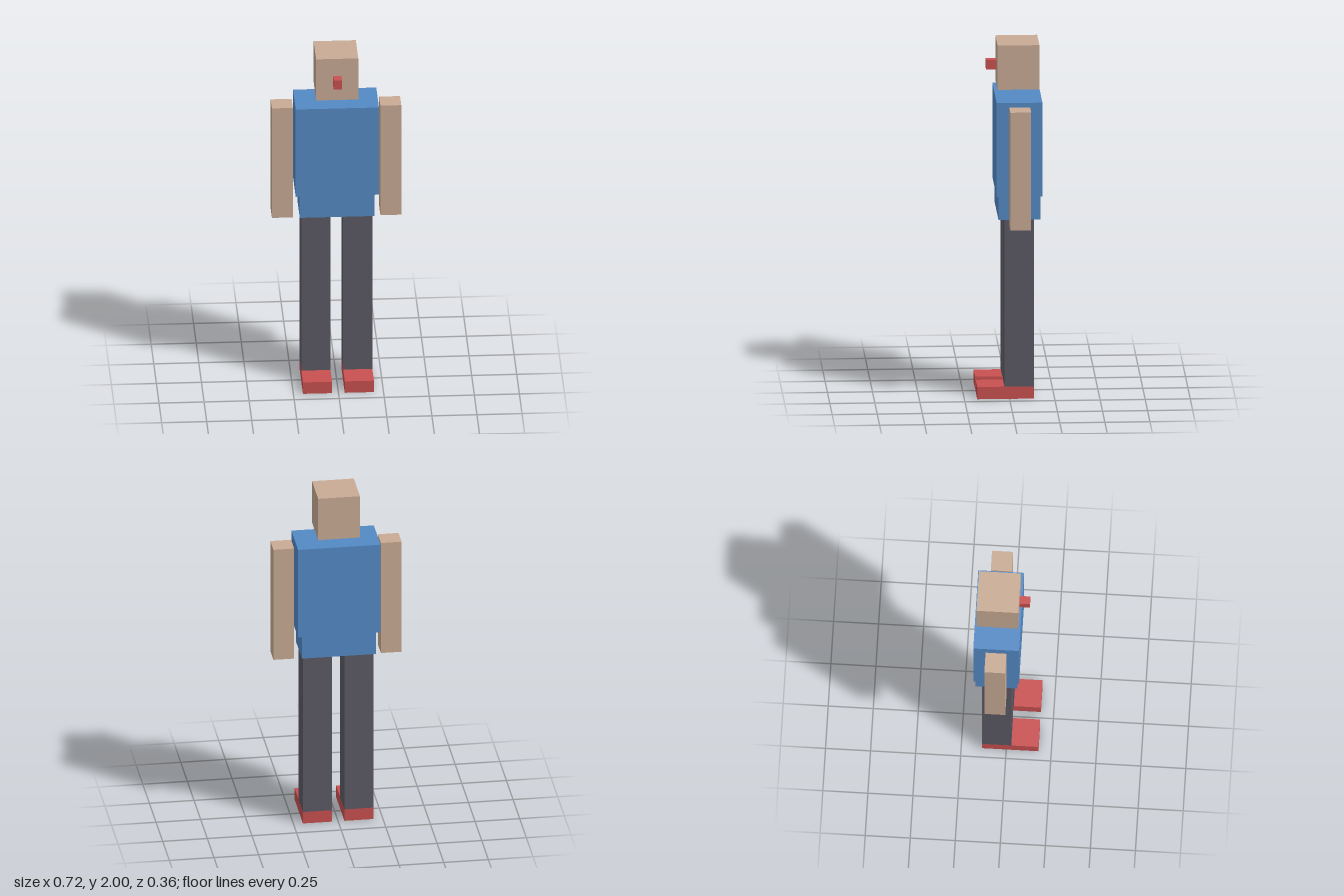
import * as THREE from 'three';

const material = (name, color) => {
  const m = new THREE.MeshStandardMaterial({ color });
  m.name = name;
  return m;
};

export function createModel() {
  const skin = material('skin', 0xc8ab94);
  const blue = material('shirt blue', 0x548ac5);
  const red = material('red', 0xc85050);
  const grey = material('trouser grey', 0x5b5a65);

  const model = new THREE.Group();
  model.name = 'blockFigure';

  // Adds a box given its extents along each axis
  const box = (name, mat, [x0, x1], [y0, y1], [z0, z1]) => {
    const mesh = new THREE.Mesh(new THREE.BoxGeometry(x1 - x0, y1 - y0, z1 - z0), mat);
    mesh.position.set((x0 + x1) / 2, (y0 + y1) / 2, (z0 + z1) / 2);
    mesh.name = name;
    model.add(mesh);
  };

  // Head floats just above the torso, with a small block nose
  box('head', skin, [-0.117, 0.117], [1.747, 2], [-0.17, 0.062]);
  box('nose', red, [-0.023, 0.023], [1.84, 1.895], [0.062, 0.121]);

  // Shirt: chest and slightly narrower waist
  box('chest', blue, [-0.231, 0.231], [1.163, 1.7], [-0.181, 0.073]);
  box('waist', blue, [-0.208, 0.208], [1.027, 1.163], [-0.17, 0.062]);

  // Limbs, mirrored left (+x) and right
  for (const [side, s] of [['left', 1], ['right', -1]]) {
    const span = (a, b) => (s > 0 ? [a, b] : [-b, -a]);
    box(side + 'Arm', skin, span(0.243, 0.359), [1.003, 1.677], [-0.112, 0.004]);
    box(side + 'Leg', grey, span(0.035, 0.197), [0.07, 1.027], [-0.135, 0.028]);
    box(side + 'Shoe', red, span(0.035, 0.197), [0, 0.07], [-0.135, 0.179]);
  }

  return model;
}
